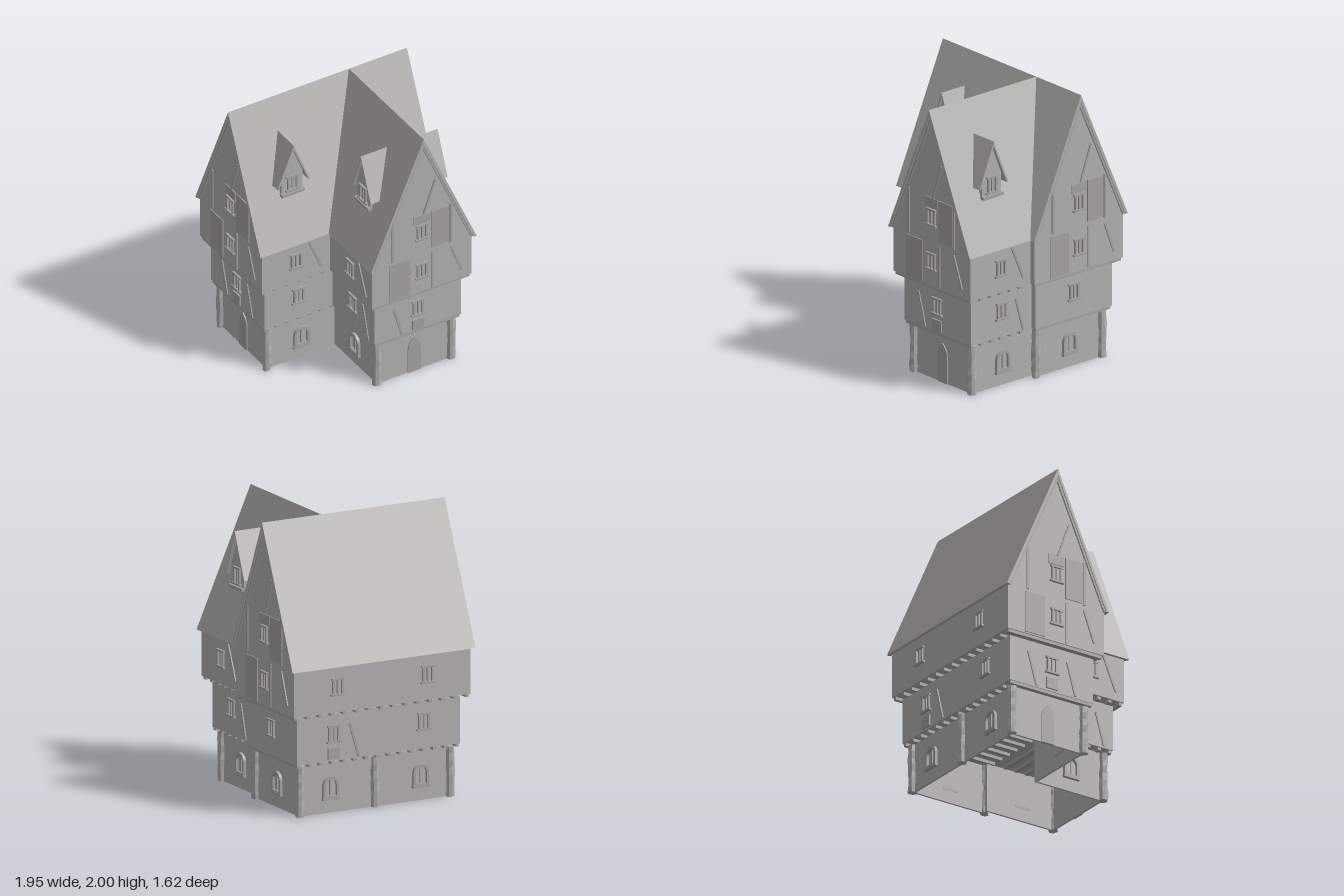
import * as THREE from 'three';

const wallMat = new THREE.MeshStandardMaterial({ color: 0xb0aeae, side: THREE.DoubleSide, flatShading: true });
wallMat.name = 'plaster grey';
const roofMat = new THREE.MeshStandardMaterial({ color: 0xb0afab, side: THREE.DoubleSide, flatShading: true });
roofMat.name = 'roof grey';
const trimMat = new THREE.MeshStandardMaterial({ color: 0xa3a1a0, side: THREE.DoubleSide, flatShading: true });
trimMat.name = 'timber grey';

const RIDGE = 2, EAVE = 1.04, HALF = 0.42, WING_X = 0.25;

function mesh(geo, mat, name, parent) {
  const m = new THREE.Mesh(geo, mat);
  m.name = name;
  parent.add(m);
  return m;
}
function shapeOf(pts) {
  return new THREE.Shape(pts.map(([x, y]) => new THREE.Vector2(x, y)));
}
function extrude(shape, depth) {
  return new THREE.ExtrudeGeometry(shape, { depth, bevelEnabled: false, curveSegments: 6 });
}
function pivot(parent, name, x, z, ry) {
  const g = new THREE.Group();
  g.name = name;
  g.position.set(x, 0, z);
  g.rotation.y = ry;
  parent.add(g);
  return g;
}

// Limits of the L-shaped plan, drawn in by d from the eaves
function plan(d) {
  return { x0: -0.71 + d, x1: 0.71 - d, z0: -HALF + d, z1: HALF - d, w0: -0.17 + d, w1: 0.67 - d, wz: 0.96 - d };
}
function outline(d) {
  const { x0, x1, z0, z1, w0, w1, wz } = plan(d);
  return [[x0, z0], [x1, z0], [x1, z1], [w1, z1], [w1, wz], [w0, wz], [w0, z1], [x0, z1]].map(([x, z]) => [x, -z]);
}

// Hollow storey: a ring of walls, with a floor plate if it overhangs
function storey(parent, name, d, y0, y1, floor) {
  const ring = shapeOf(outline(d));
  ring.holes.push(new THREE.Path(outline(d + 0.015).map(([x, y]) => new THREE.Vector2(x, y))));
  const walls = mesh(extrude(ring, y1 - y0).rotateX(-Math.PI / 2), wallMat, name, parent);
  walls.position.y = y0;
  if (floor) {
    const plate = mesh(extrude(shapeOf(outline(d + 0.002)), 0.01).rotateX(-Math.PI / 2), wallMat, name + 'Floor', parent);
    plate.position.y = y0;
  }
}

// Wall frames: centre on the face, outward is local +z
function wallFrames(parent, name, d) {
  const { x0, x1, z0, z1, w0, w1, wz } = plan(d);
  const q = Math.PI / 2, wx = (w0 + w1) / 2, sz = (z1 + wz) / 2;
  return [
    ['LeftEnd', x0, 0, -q], ['Front', (x0 + w0) / 2, z1, 0], ['WingLeft', w0, sz, -q], ['WingEnd', wx, wz, 0],
    ['WingRight', w1, sz, q], ['RightEnd', x1, 0, q], ['BackA', 0.35, z0, 2 * q], ['BackB', -0.35, z0, 2 * q],
  ].map(([n, x, z, r]) => pivot(parent, name + n, x, z, r));
}

// Flat bar or board lying on a wall, optionally tilted
function board(wall, s, y, w, h, tilt = 0, name = 'timber', depth = 0.012) {
  const m = mesh(new THREE.BoxGeometry(w, h, depth), trimMat, name, wall);
  m.position.set(s, y, 0.003);
  m.rotation.z = tilt;
}
function squareWindow(wall, y, k = 1) {
  for (const s of [-1, 1]) board(wall, s * 0.034 * k, y, 0.014 * k, 0.11 * k, 0, 'windowJamb', 0.022);
  board(wall, 0, y + 0.055 * k, 0.1 * k, 0.014 * k, 0, 'windowLintel', 0.026);
  board(wall, 0, y - 0.055 * k, 0.11 * k, 0.014 * k, 0, 'windowSill', 0.034);
  board(wall, 0, y, 0.01 * k, 0.1 * k, 0, 'windowMullion', 0.014);
}
// Arched outline with a pointed or round head
function arch(w, h, pointed) {
  const s = new THREE.Shape();
  const spring = h - w * (pointed ? 1 : 0.5);
  s.moveTo(-w / 2, 0).lineTo(w / 2, 0).lineTo(w / 2, spring);
  if (pointed) {
    s.quadraticCurveTo(w / 2, h - w * 0.4, 0, h);
    s.quadraticCurveTo(-w / 2, h - w * 0.4, -w / 2, spring);
  } else s.absarc(0, spring, w / 2, 0, Math.PI, false);
  return s;
}
function archedWindow(wall) {
  const s = arch(0.12, 0.155, false);
  s.holes.push(new THREE.Path(arch(0.085, 0.115, false).getPoints(6).map((p) => p.add(new THREE.Vector2(0, 0.02)))));
  mesh(extrude(s, 0.02), trimMat, 'archedWindowFrame', wall).position.y = 0.1;
  board(wall, 0, 0.17, 0.01, 0.12, 0, 'windowMullion');
  board(wall, 0, 0.1, 0.13, 0.018, 0, 'windowSill', 0.04);
}

// Steep roof: an upside-down V swept along z
function chevron(half, top, low, drop) {
  const inner = half * (top - drop - low) / (top - low);
  return shapeOf([[0, top], [-half, low], [-inner, low], [0, top - drop], [inner, low], [half, low]]);
}
function roof(parent, name, z0, z1, half = HALF, top = RIDGE, low = EAVE, drop = 0.05) {
  mesh(extrude(chevron(half, top, low, drop), z1 - z0), roofMat, name, parent).position.z = z0;
}
function gable(parent, z) {
  mesh(extrude(shapeOf([[-0.397, 1.03], [0.397, 1.03], [0.397, 1.06], [0, 1.96], [-0.397, 1.06]]), 0.012), wallMat, 'gableWall', parent).position.z = z - 0.012;
  mesh(extrude(chevron(HALF, RIDGE - 0.004, EAVE, 0.085), 0.012), trimMat, 'bargeBoard', parent).position.z = z + 0.005;
}
function gableTimbers(wall) {
  squareWindow(wall, 1.22);
  board(wall, -0.235, 1.21, 0.018, 0.32);
  board(wall, 0.23, 1.21, 0.018, 0.32);
  board(wall, 0.145, 1.21, 0.14, 0.3, 0, 'wallPanel', 0.008);
  board(wall, 0, 1.325, 0.13, 0.07, 0, 'wallPanel', 0.008);
  board(wall, 0.06, 1.49, 0.014, 0.27, -0.35, 'brace');
}

// Dormer, looking along +z, set on the slope below the ridge
function dormer(parent, x, z, ry) {
  const g = pivot(parent, 'dormer', x, z, ry);
  roof(g, 'dormerRoof', 0.09, 0.305, 0.13, 1.78, 1.46, 0.035);
  const front = shapeOf([[-0.085, 1.36], [0.085, 1.36], [0.085, 1.545], [0, 1.75], [-0.085, 1.545]]);
  mesh(extrude(front, 0.18), wallMat, 'dormerWall', g).position.z = 0.1;
  const face = pivot(g, 'dormerWindow', 0, 0.28, 0);
  squareWindow(face, 1.465, 1.0);
  board(face, 0, 1.385, 0.18, 0.02, 0, 'dormerSill', 0.04);
}

// Rough stone pier with a wobbling surface
function pier(parent, x, z, seed) {
  const geo = new THREE.CylinderGeometry(0.03, 0.032, 0.35, 8, 7);
  const p = geo.attributes.position;
  for (let i = 0; i < p.count; i++) {
    const a = Math.atan2(p.getZ(i), p.getX(i));
    const k = 1 + 0.2 * Math.sin(p.getY(i) * 38 + seed * 2.1 + Math.round(a * 2)) * Math.cos(seed + p.getY(i) * 17);
    p.setX(i, p.getX(i) * k);
    p.setZ(i, p.getZ(i) * k);
  }
  geo.computeVertexNormals();
  mesh(geo, wallMat, 'stonePier', parent).position.set(x, 0.175, z);
}

// Joists filling the gap below an overhanging storey
function joists(parent, d, y) {
  const { x0, x1, z0, z1, w0, w1, wz } = plan(d);
  for (let i = 0; i <= 14; i++) {
    const x = x0 + 0.015 + (x1 - x0 - 0.03) * i / 14;
    mesh(new THREE.BoxGeometry(0.025, 0.024, z1 - z0 - 0.01), trimMat, 'joist', parent).position.set(x, y, 0);
  }
  for (let i = 1; i <= 6; i++) {
    const z = z1 + (wz - z1 - 0.015) * i / 6;
    mesh(new THREE.BoxGeometry(w1 - w0 - 0.01, 0.024, 0.025), trimMat, 'joist', parent).position.set((w0 + w1) / 2, y, z);
  }
}

export function createModel() {
  const model = new THREE.Group();
  model.name = 'gabledHouse';
  const house = pivot(model, 'house', -0.155, -0.035, 0.696);

  // Three storeys, each wider than the one below
  storey(house, 'groundStorey', 0.125, 0, 0.352, false);
  storey(house, 'middleStorey', 0.077, 0.37, 0.7, true);
  storey(house, 'upperStorey', 0.024, 0.72, 1.07, true);
  joists(house, 0.08, 0.36);
  joists(house, 0.03, 0.71);

  const { x0, x1, z0, z1, w0, w1, wz } = plan(0.125);
  [[x0, z0], [0, z0], [x1, z0], [x1, z1], [w1, wz], [w0, wz], [x0, z1]].forEach(([x, z], i) => pier(house, x, z, i));

  // Doors at two ends, arched windows elsewhere
  wallFrames(house, 'ground', 0.125).forEach((wall, i) => {
    if (i === 0 || i === 3) mesh(extrude(arch(0.1, 0.285, true), 0.008), trimMat, 'door', wall);
    else archedWindow(wall);
  });
  wallFrames(house, 'middle', 0.077).forEach((wall, i) => {
    squareWindow(wall, 0.56);
    const end = i === 0 || i === 3;
    if (i % 2 === 0) board(wall, 0.16, 0.5, 0.016, 0.25, 0.28, 'brace');
    if (end) board(wall, -0.16, 0.5, 0.016, 0.25, 0.28, 'brace');
    if (i % 3 === 0) board(wall, 0, 0.425, 0.09, 0.08, 0, 'wallPanel', 0.018);
  });
  wallFrames(house, 'upper', 0.024).forEach((wall, i) => {
    squareWindow(wall, 0.9);
    if (i === 0 || i === 3 || i === 5) {
      board(wall, 0.08, 0.88, 0.016, 0.3);
      board(wall, -0.175, 0.88, 0.16, 0.3, 0, 'wallPanel', 0.008);
      board(wall, 0.27, 0.9, 0.016, 0.24, 0.36, 'brace');
      gableTimbers(wall);
    } else if (i < 6) board(wall, 0.15, 0.9, 0.016, 0.26, 0.4, 'brace');
  });

  // Main roof along x, wing roof along z
  const main = pivot(house, 'mainRoof', 0, 0, Math.PI / 2);
  roof(main, 'mainRoofSlopes', -0.71, 0.71);
  gable(main, 0.686);
  gable(pivot(house, 'leftGable', 0, 0, -Math.PI / 2), 0.686);
  const wing = pivot(house, 'wingRoof', WING_X, 0, 0);
  roof(wing, 'wingRoofSlopes', 0, 0.962);
  gable(wing, 0.936);

  // Dormers on the front slope and both wing slopes
  dormer(house, -0.375, 0, 0);
  for (const s of [-1, 1]) dormer(house, WING_X, 0.645, s * Math.PI / 2);
  return model;
}
